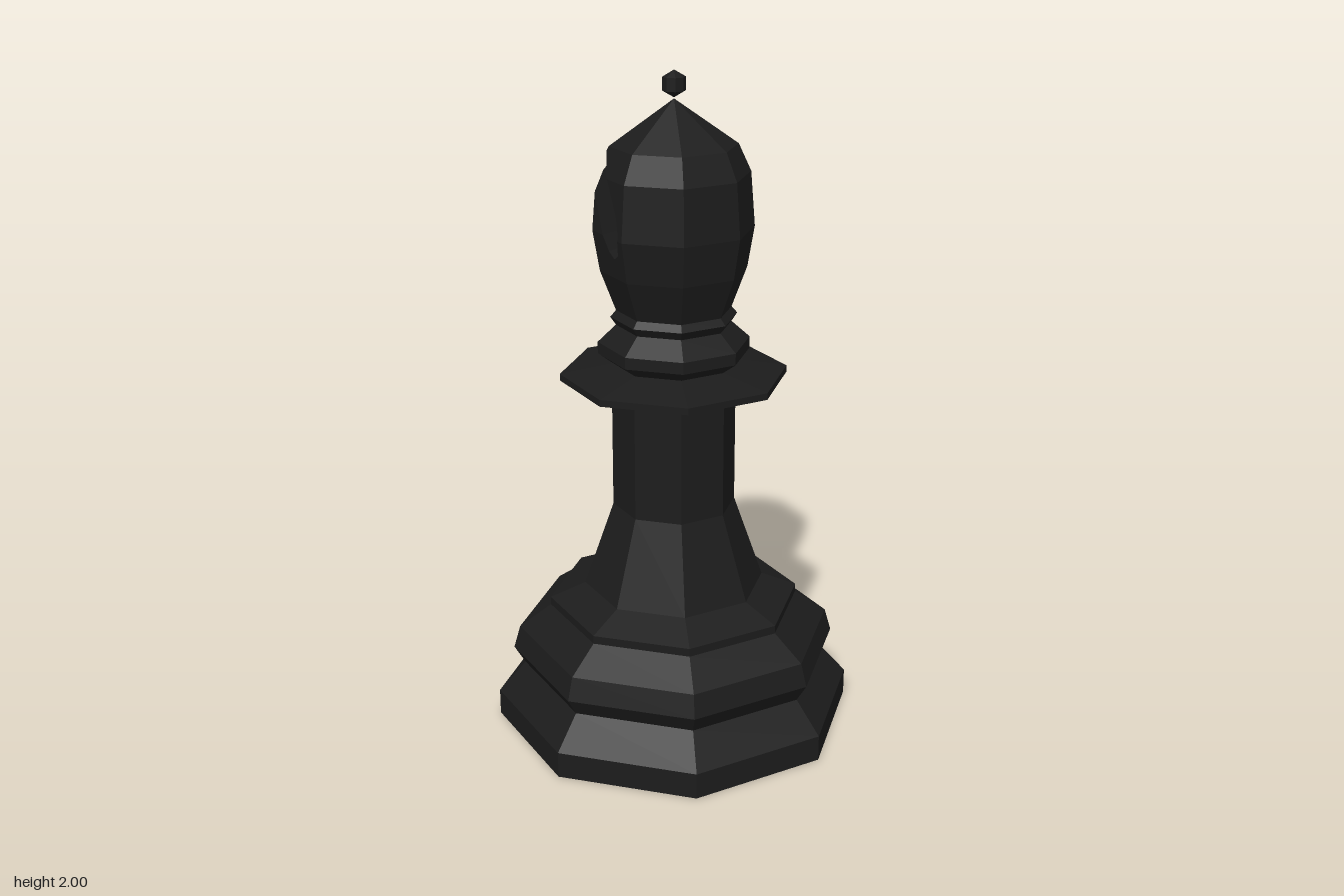
import * as THREE from 'three';

const SIDES = 8;
const V = (x, y, z) => new THREE.Vector3(x, y, z);

// Splits a convex polygon by a plane into its front and back pieces
function split(poly, plane) {
  const front = [], back = [];
  poly.forEach((a, i) => {
    const b = poly[(i + 1) % poly.length];
    const da = plane.distanceToPoint(a), db = plane.distanceToPoint(b);
    if (da >= 0) front.push(a);
    if (da <= 0) back.push(a);
    if (da * db < 0) {
      const p = a.clone().lerp(b, da / (da - db));
      front.push(p);
      back.push(p);
    }
  });
  return { front, back };
}

// Triangulates convex polygons as fans
function polygonsToGeometry(polys) {
  const points = [];
  for (const p of polys) {
    for (let i = 1; i < p.length - 1; i++) points.push(p[0], p[i], p[i + 1]);
  }
  const geometry = new THREE.BufferGeometry().setFromPoints(points);
  geometry.computeVertexNormals();
  return geometry;
}

// Eight-sided convex head with a slanted slot cut through it from side to side
function slottedHead() {
  const profile = [[0.17, 1.31], [0.215, 1.43], [0.235, 1.55], [0.222, 1.71], [0.185, 1.79], [0, 1.92]];
  const at = ([r, y], j) => {
    const t = (j / SIDES) * Math.PI * 2;
    return V(r * Math.sin(t), y, r * Math.cos(t));
  };
  const faces = [];
  for (let i = 0; i < profile.length - 1; i++) {
    for (let j = 0; j < SIDES; j++) {
      const face = [at(profile[i], j), at(profile[i], j + 1), at(profile[i + 1], j + 1)];
      if (profile[i + 1][0] > 0) face.push(at(profile[i + 1], j));
      faces.push(face);
    }
  }

  // Slot outline as [z, y], open at both ends above the back of the head
  const slot = [[-0.245, 1.957], [-0.037, 1.615], [-0.022, 1.565], [-0.03, 1.505],
    [-0.053, 1.49], [-0.08, 1.508], [-0.106, 1.55], [-0.27, 1.892]];
  const walls = [];
  for (let i = 0; i < slot.length - 1; i++) {
    const [[az, ay], [bz, by]] = [slot[i], slot[i + 1]];
    walls.push([V(-1, ay, az), V(1, ay, az), V(1, by, bz), V(-1, by, bz)]);
  }
  const planeOf = (p) => new THREE.Plane().setFromCoplanarPoints(p[0], p[1], p[2]);
  const wallPlanes = walls.map(planeOf), facePlanes = faces.map(planeOf);

  // Outer skin: keep everything that is outside the slot
  const kept = [];
  for (const face of faces) {
    let rest = face;
    for (const plane of wallPlanes) {
      const { front, back } = split(rest, plane);
      if (back.length > 2) kept.push(back);
      rest = front;
      if (rest.length < 3) break;
    }
  }
  // Slot walls: keep only what lies inside the head
  for (const wall of walls) {
    let rest = wall;
    for (const plane of facePlanes) rest = split(rest, plane).back;
    if (rest.length > 2) kept.push(rest);
  }
  return polygonsToGeometry(kept);
}

export function createModel() {
  const group = new THREE.Group();
  const material = new THREE.MeshStandardMaterial({ color: 0x1c1c1c, flatShading: true });
  const add = (name, geometry) => {
    const mesh = new THREE.Mesh(geometry, material);
    mesh.name = name;
    group.add(mesh);
    return mesh;
  };
  const lathe = (profile) =>
    new THREE.LatheGeometry(profile.map(([r, y]) => new THREE.Vector2(r, y)), SIDES);

  // Stepped foot
  add('base', lathe([[0, 0], [0.55, 0], [0.55, 0.08], [0.467, 0.175], [0.5, 0.23],
    [0.48, 0.3], [0.383, 0.37], [0.383, 0.395], [0.275, 0.44]]));
  // Flared column
  add('stem', lathe([[0.275, 0.44], [0.185, 0.7], [0.185, 1.07]]));
  // Wide thin disc
  add('collar', lathe([[0.185, 1.07], [0.338, 1.1], [0.338, 1.12], [0.18, 1.147]]));
  // Two small rings under the head
  add('neckRings', lathe([[0.18, 1.147], [0.225, 1.18], [0.225, 1.215], [0.17, 1.265],
    [0.187, 1.29], [0.17, 1.31]]));
  add('head', slottedHead());
  // Small ball on the tip
  add('finial', new THREE.SphereGeometry(0.0385, SIDES, 3)).position.y = 1.9615;

  return group;
}
